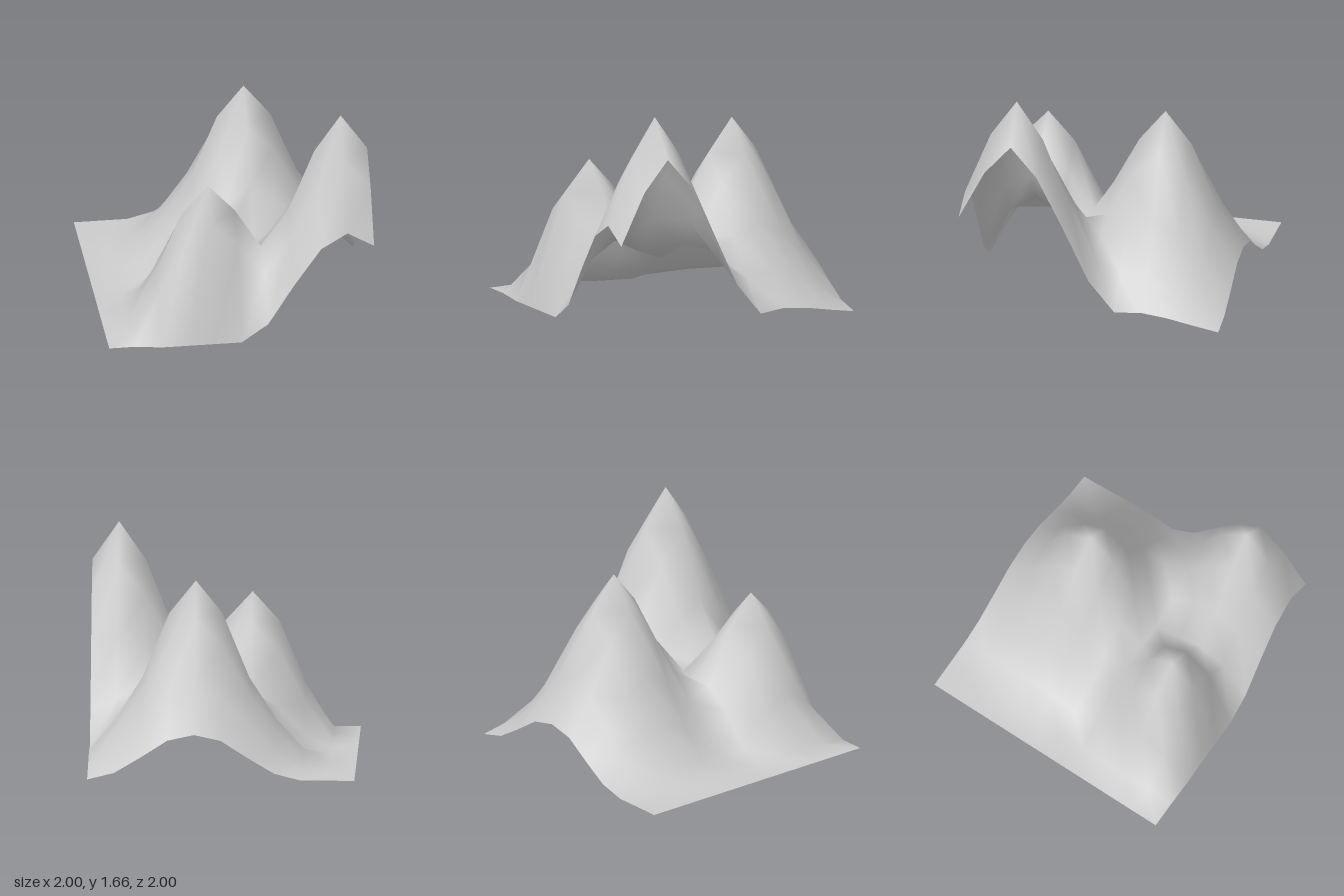
import * as THREE from 'three';

const SIZE = 2, CELLS = 10, BASE = 0.02;

// Each peak: centre and radial profile [distance, height above base]
const westPeak = { x: -0.2, z: 0.6, profile: [[0, 1.11], [0.2, 0.89], [0.283, 0.71], [0.4, 0.41], [0.447, 0.31], [0.566, 0.09], [0.6, 0.035], [0.7, 0]] };
const eastPeak = { x: 0.8, z: 0.6, profile: [[0, 1.64], [0.2, 1.35], [0.283, 1.12], [0.4, 0.85], [0.447, 0.73], [0.566, 0.44], [0.632, 0.31], [0.721, 0.12], [0.84, 0]] };
const backPeak = { x: 0.2, z: -0.4, profile: [[0, 1.4], [0.2, 1.15], [0.283, 0.95], [0.4, 0.66], [0.447, 0.58], [0.566, 0.39], [0.632, 0.3], [0.721, 0.17], [0.849, 0.05], [1, 0]] };

// Height of one peak at a point, straight between profile points
function peakHeight({ x, z, profile }, px, pz) {
  const r = Math.hypot(px - x, pz - z);
  for (let i = 1; i < profile.length; i++) {
    const [r0, h0] = profile[i - 1], [r1, h1] = profile[i];
    if (r <= r1) return THREE.MathUtils.mapLinear(r, r0, r1, h0, h1);
  }
  return 0;
}

// Peaks blend softly where their slopes meet
function groundHeight(x, z) {
  const frontEdge = z > 0.99;
  // The front edge is cut flat below the west peak
  if (frontEdge && x > -0.61 && x < 0.01) return 0;
  const peaks = frontEdge ? [eastPeak] : [westPeak, eastPeak, backPeak];
  const power = 1.9;
  const sum = peaks.reduce((s, p) => s + peakHeight(p, x, z) ** power, 0);
  // Small shoulder on the saddle in front of the back peak
  const shoulder = 0.11 * Math.max(0, 1 - Math.hypot(x - 0.2, z) / 0.2);
  return BASE + sum ** (1 / power) + shoulder;
}

export function createModel() {
  const group = new THREE.Group();
  group.name = 'mountainTerrain';

  // Square grid raised into three mountains
  const geometry = new THREE.PlaneGeometry(SIZE, SIZE, CELLS, CELLS).rotateX(-Math.PI / 2);
  const pos = geometry.attributes.position;
  for (let i = 0; i < pos.count; i++) {
    pos.setY(i, groundHeight(pos.getX(i), pos.getZ(i)));
  }
  geometry.computeVertexNormals();

  const material = new THREE.MeshStandardMaterial({ color: 0xcccccc, side: THREE.DoubleSide });
  const terrain = new THREE.Mesh(geometry, material);
  terrain.name = 'terrain';
  group.add(terrain);
  return group;
}
